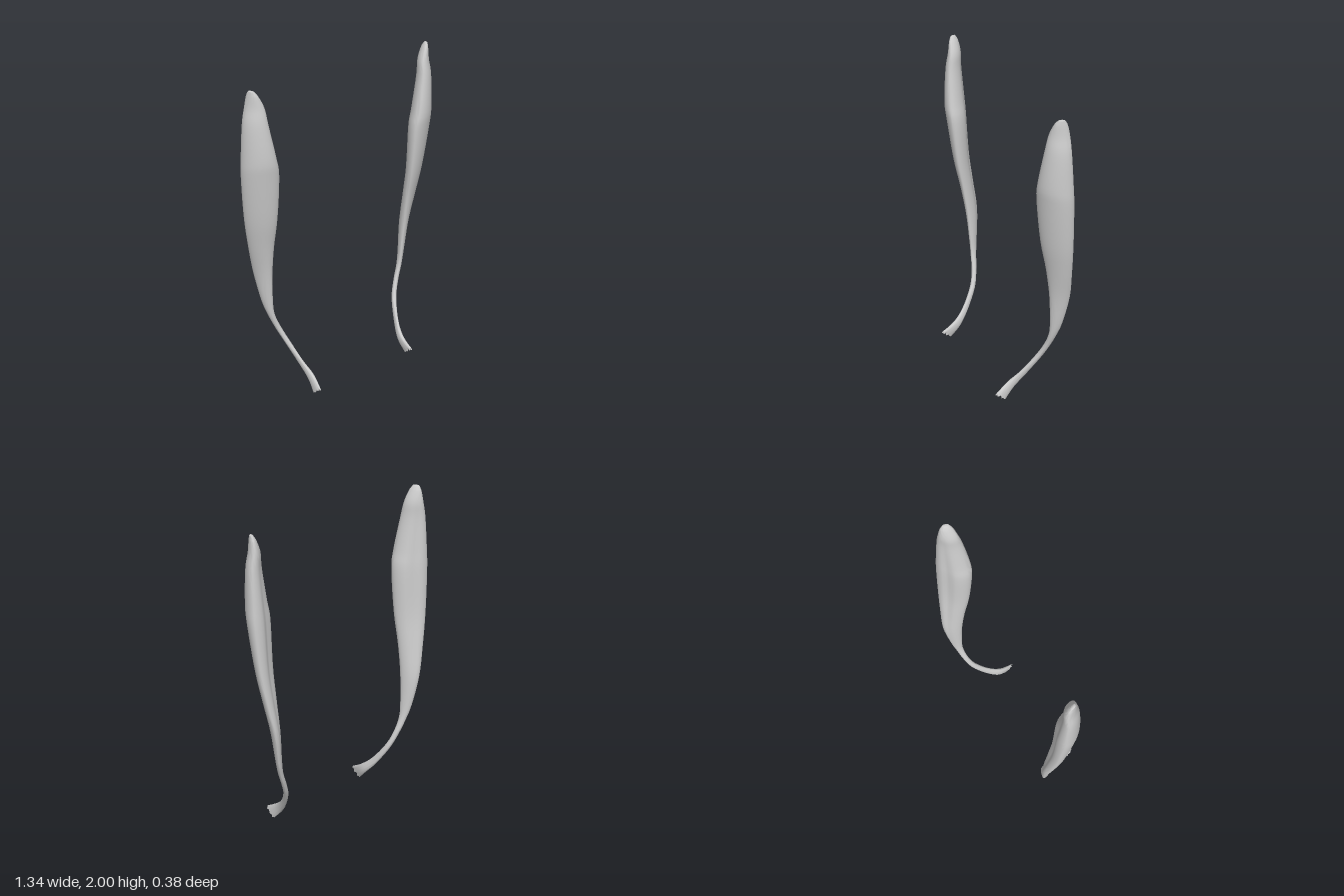
import * as THREE from 'three';
import { toCreasedNormals } from 'three/addons/utils/BufferGeometryUtils.js';

// Stations from tip to foot: y, inner x, outer x, back z, front z, thinness, tilt
const STATIONS = [
  [2.0, 0.602, 0.624, -0.085, -0.05, 0.6, 0],
  [1.97, 0.582, 0.63, -0.102, -0.034, 0.6, 0],
  [1.9, 0.553, 0.64, -0.116, -0.018, 0.6, 0],
  [1.8, 0.54, 0.658, -0.122, 0.0, 0.6, 0],
  [1.6, 0.505, 0.668, -0.138, 0.02, 0.6, 0],
  [1.48, 0.486, 0.668, -0.146, 0.014, 0.58, 0],
  [1.2, 0.49, 0.646, -0.16, -0.02, 0.5, 0],
  [1.0, 0.495, 0.615, -0.176, -0.06, 0.5, 0],
  [0.8, 0.495, 0.577, -0.19, -0.09, 0.5, 0],
  [0.6, 0.489, 0.54, -0.168, -0.105, 0.55, 0],
  [0.5, 0.477, 0.512, -0.149, -0.106, 0.7, 0],
  [0.4, 0.441, 0.474, -0.128, -0.094, 0.8, 0],
  [0.3, 0.402, 0.432, -0.093, -0.06, 0.9, 0.006],
  [0.18, 0.365, 0.388, -0.018, 0.016, 0.9, 0.014],
  [0.1, 0.338, 0.368, 0.052, 0.094, 0.9, 0.022],
  [0.037, 0.347, 0.371, 0.112, 0.18, 0.9, 0.027],
];
const AROUND = 32, STEPS = 4;

// Catmull-Rom interpolation of a whole station row
function stationAt(t) {
  const last = STATIONS.length - 1;
  const i = Math.min(Math.floor(t), last - 1), f = t - i;
  const row = (k) => STATIONS[Math.max(0, Math.min(last, k))];
  const [a, b, c, d] = [row(i - 1), row(i), row(i + 1), row(i + 2)];
  return b.map((p, k) => p + 0.5 * f * (c[k] - a[k]
    + f * (2 * a[k] - 5 * p + 4 * c[k] - d[k] + f * (3 * (p - c[k]) + d[k] - a[k]))));
}

// Lens-shaped section, broad along the diagonal, fitted to the station's box
function section([y, x0, x1, z0, z1, thin, tilt]) {
  const groove = y > 0.6 && y < 1.95 ? 0.3 * Math.sin(Math.PI * (y - 0.6) / 1.35) : 0;
  const raw = [];
  for (let j = 0; j < AROUND; j++) {
    const a = (j / AROUND) * Math.PI * 2, s = Math.sin(a), u = Math.cos(a);
    let v = thin * Math.sign(s) * Math.pow(Math.abs(s), 1.2);
    // shallow groove along the inner back face
    if (s < 0) v *= 1 - groove * Math.exp(-(((u - 0.3) / 0.25) ** 2));
    raw.push([u + v, v - u]);
  }
  const range = (k) => {
    const values = raw.map((p) => p[k]);
    return [Math.min(...values), Math.max(...values)];
  };
  const [rx, rz] = [range(0), range(1)];
  return raw.map(([px, pz]) => {
    const fx = (px - rx[0]) / (rx[1] - rx[0]), fz = (pz - rz[0]) / (rz[1] - rz[0]);
    return [x0 + fx * (x1 - x0), y + tilt * (2 * fz - 1), z0 + fz * (z1 - z0)];
  });
}

// Loft the sections into one closed strand; side is +1 or -1
function strandGeometry(side) {
  const rings = (STATIONS.length - 1) * STEPS + 1;
  const pos = [], index = [];
  for (let i = 0; i < rings; i++) {
    section(stationAt(i / STEPS)).forEach(([x, y, z], j) => {
      // ragged lower end
      const rag = i === rings - 1 ? 0.006 * Math.cos(j * 1.6) : 0;
      pos.push(side * x, y - rag, z + rag);
    });
  }
  const tri = (a, b, c) => (side > 0 ? index.push(a, b, c) : index.push(a, c, b));
  for (let i = 0; i < rings - 1; i++) {
    for (let j = 0; j < AROUND; j++) {
      const k = (j + 1) % AROUND;
      const a = i * AROUND + j, b = i * AROUND + k;
      tri(a, b, a + AROUND);
      tri(b, b + AROUND, a + AROUND);
    }
  }
  // end caps, fanned from a centre point
  const cap = (ring, lift, flip) => {
    const centre = [0, 0, 0], start = ring * AROUND, id = pos.length / 3;
    for (let j = 0; j < AROUND; j++) {
      for (let k = 0; k < 3; k++) centre[k] += pos[(start + j) * 3 + k] / AROUND;
    }
    pos.push(centre[0], centre[1] + lift, centre[2]);
    for (let j = 0; j < AROUND; j++) {
      const a = start + j, b = start + ((j + 1) % AROUND);
      flip ? tri(id, a, b) : tri(id, b, a);
    }
  };
  cap(0, 0.004, false);
  cap(rings - 1, 0.004, true);
  const geometry = new THREE.BufferGeometry();
  geometry.setAttribute('position', new THREE.Float32BufferAttribute(pos, 3));
  geometry.setIndex(index);
  return toCreasedNormals(geometry, 0.7);
}

export function createModel() {
  const group = new THREE.Group();
  group.name = 'musclePair';
  const material = new THREE.MeshStandardMaterial({ color: 0xcccccc, side: THREE.DoubleSide });
  for (const [name, side] of [['leftMuscle', 1], ['rightMuscle', -1]]) {
    const mesh = new THREE.Mesh(strandGeometry(side), material);
    mesh.name = name;
    group.add(mesh);
  }
  return group;
}
